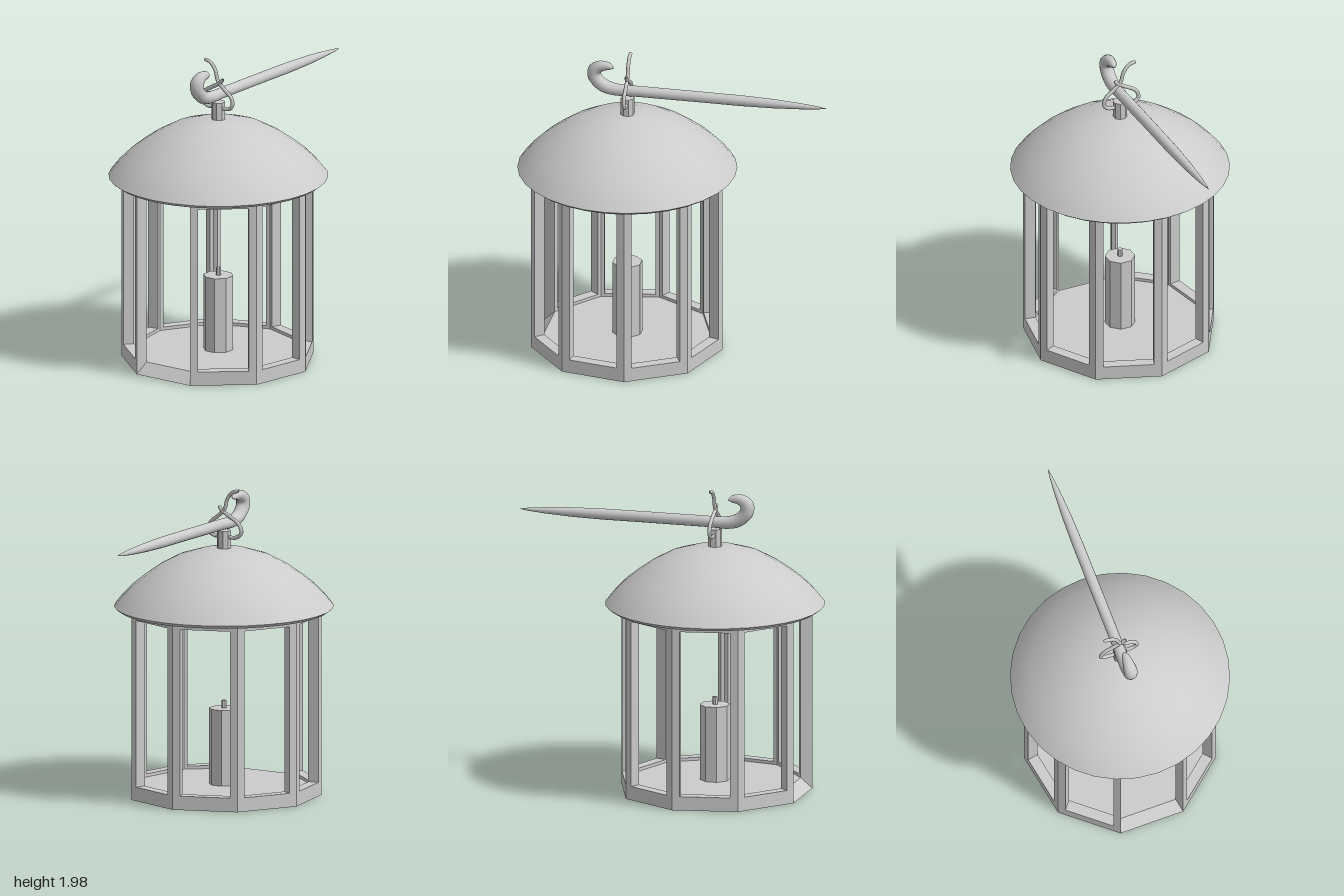
import * as THREE from 'three';
import { toCreasedNormals } from 'three/addons/utils/BufferGeometryUtils.js';

const smooth = new THREE.MeshStandardMaterial({ color: 0xcccccc });
const flat = new THREE.MeshStandardMaterial({ color: 0xcccccc, flatShading: true });

const SIDES = 9, R = 0.62, HEIGHT = 1.2, WALL = 0.07;
const STEP = (Math.PI * 2) / SIDES;
const APOTHEM = R * Math.cos(STEP / 2);
const HALF = R * Math.sin(STEP / 2);
const CENTRE_Z = 0.295;

function add(parent, name, geometry, material) {
  const mesh = new THREE.Mesh(geometry, material);
  mesh.name = name;
  parent.add(mesh);
  return mesh;
}

function prism(parent, name, rTop, rBottom, y0, y1, sides, start = 0) {
  const g = new THREE.CylinderGeometry(rTop, rBottom, y1 - y0, sides, 1, false, start);
  g.translate(0, (y0 + y1) / 2, 0);
  return add(parent, name, g, flat);
}

// Window frame with ends mitred to meet its neighbours
function frameGeometry() {
  const shape = new THREE.Shape([
    [-HALF, 0], [HALF, 0], [HALF, HEIGHT], [-HALF, HEIGHT],
  ].map(([x, y]) => new THREE.Vector2(x, y)));
  const w = HALF - 0.05;
  shape.holes.push(new THREE.Path([
    [-w, 0.09], [-w, 1.168], [w, 1.168], [w, 0.09],
  ].map(([x, y]) => new THREE.Vector2(x, y))));
  const g = new THREE.ExtrudeGeometry(shape, { depth: WALL, bevelEnabled: false });
  const p = g.attributes.position;
  for (let i = 0; i < p.count; i++) {
    const x = p.getX(i);
    if (p.getZ(i) < WALL / 2 && Math.abs(x) > HALF - 0.001) p.setX(i, x * (APOTHEM - WALL) / APOTHEM);
  }
  g.translate(0, 0, APOTHEM - WALL);
  g.computeVertexNormals();
  return g;
}

// Tube whose radius follows [distance fraction, radius] stops
function taperedTube(points, segments, sides, stops) {
  const curve = new THREE.CatmullRomCurve3(points, false, 'centripetal');
  const g = new THREE.TubeGeometry(curve, segments, 1, sides, false);
  const p = g.attributes.position, v = new THREE.Vector3();
  for (let i = 0; i <= segments; i++) {
    const u = i / segments;
    const c = curve.getPointAt(u);
    let k = 1;
    while (k < stops.length - 1 && stops[k][0] < u) k++;
    const [u0, r0] = stops[k - 1], [u1, r1] = stops[k];
    const r = THREE.MathUtils.mapLinear(u, u0, u1, r0, r1);
    for (let j = 0; j <= sides; j++) {
      const n = i * (sides + 1) + j;
      v.fromBufferAttribute(p, n).sub(c).multiplyScalar(r).add(c);
      p.setXYZ(n, v.x, v.y, v.z);
    }
  }
  return g;
}

export function createModel() {
  const model = new THREE.Group();
  model.name = 'lantern';
  const body = new THREE.Group();
  body.name = 'lanternBody';
  body.position.z = CENTRE_Z;
  model.add(body);

  // Floor slopes down to a sill at the open front
  prism(body, 'floor', R * (APOTHEM - WALL) / APOTHEM, R, 0, 0.07, SIDES, STEP / 2);

  // Window frames on every side but the front
  const frame = frameGeometry();
  for (let i = 1; i < SIDES; i++) add(body, 'windowFrame' + i, frame, flat).rotation.y = i * STEP;

  // Domed roof with a narrow turned-under rim
  const profile = [
    [0, 1.2], [0.67, 1.2], [0.7, 1.222], [0.645, 1.29], [0.58, 1.355], [0.505, 1.415],
    [0.42, 1.475], [0.3, 1.54], [0.15, 1.587], [0, 1.6],
  ].map(([x, y]) => new THREE.Vector2(x, y));
  add(body, 'roof', toCreasedNormals(new THREE.LatheGeometry(profile, 32), 0.6), smooth);

  // Candle and finial
  prism(body, 'candle', 0.097, 0.097, 0.07, 0.56, 8, Math.PI / 8);
  prism(body, 'wick', 0.016, 0.016, 0.56, 0.61, 6);
  prism(body, 'finial', 0.045, 0.045, 1.58, 1.71, 8, Math.PI / 8);

  // Bent wire through the finial, crossing above the hook
  const wire = [
    [-0.115, 1.975], [-0.065, 1.962], [-0.025, 1.915], [-0.005, 1.85], [0.045, 1.8], [0.1, 1.755],
    [0.112, 1.705], [0.085, 1.675], [0, 1.672], [-0.09, 1.672], [-0.13, 1.705], [-0.11, 1.76],
    [-0.04, 1.805], [0.01, 1.835], [0.042, 1.868],
  ].map(([x, y]) => new THREE.Vector3(x, y, 0));
  add(body, 'wireLoop', taperedTube(wire, 80, 8,
    [[0, 0], [0.001, 0.01], [0.03, 0.012], [0.97, 0.013], [0.999, 0.011], [1, 0]]), smooth);

  // Pointed spike curling into a hook at the front
  const spike = [
    [-1, 1.753], [-0.6, 1.755], [-0.2, 1.756], [0.2, 1.756], [0.39, 1.758], [0.46, 1.782],
    [0.508, 1.835], [0.508, 1.88], [0.475, 1.908], [0.425, 1.914], [0.382, 1.902],
  ].map(([z, y]) => new THREE.Vector3(-0.008, y, z));
  add(model, 'spikeHook', taperedTube(spike, 100, 14, [
    [0, 0], [0.03, 0.009], [0.1, 0.02], [0.2, 0.03], [0.32, 0.035], [0.75, 0.036],
    [0.84, 0.043], [0.92, 0.045], [0.96, 0.032], [0.985, 0.023], [1, 0],
  ]), smooth);

  return model;
}
